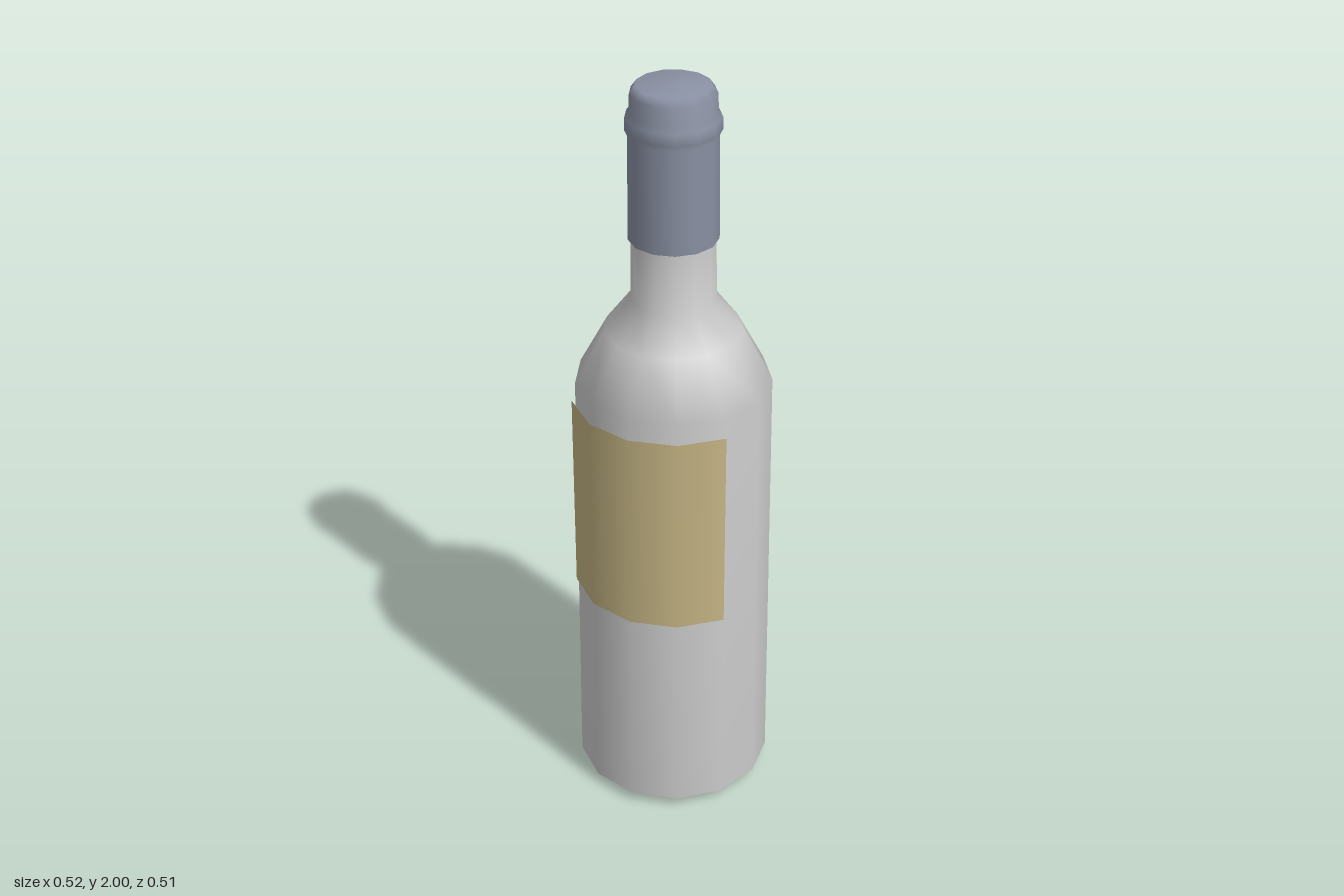
import * as THREE from 'three';

const SIDES = 13;
const STEP = (Math.PI * 2) / SIDES;

// Revolve a profile of [radius, height] pairs, with a corner pointing to -z
function revolve(name, profile, color, firstSide = 0, sides = SIDES) {
  const points = profile.map(([r, y]) => new THREE.Vector2(r, y));
  const geometry = new THREE.LatheGeometry(points, sides, Math.PI + firstSide * STEP, sides * STEP);
  const material = new THREE.MeshStandardMaterial({ color, side: THREE.DoubleSide });
  const mesh = new THREE.Mesh(geometry, material);
  mesh.name = name;
  return mesh;
}

export function createModel() {
  const bottle = new THREE.Group();
  bottle.name = 'bottle';

  // Glass: shallow hollow base, slightly tapering body, shoulder and neck
  bottle.add(revolve('glassBody', [
    [0, 0.03], [0.12, 0.015], [0.2, 0], [0.235, 0.01], [0.259, 0.03],
    [0.251, 1.21], [0.176, 1.35], [0.108, 1.44], [0.105, 1.62],
  ], 0xcccccc));

  // Foil capsule with a raised ring below the rounded top
  bottle.add(revolve('foilCapsule', [
    [0.104, 1.6], [0.113, 1.6], [0.111, 1.87], [0.118, 1.885], [0.118, 1.915],
    [0.107, 1.93], [0.106, 1.975], [0.092, 1.994], [0, 2],
  ], 0x8a91a3));

  // Paper label wrapped over four sides of the body
  bottle.add(revolve('label', [[0.261, 0.61], [0.261, 1.16]], 0xc4b484, 3, 4));

  // Odd side count: centre the depth
  bottle.position.z = 0.004;
  const model = new THREE.Group();
  model.name = 'wineBottle';
  model.add(bottle);
  return model;
}
